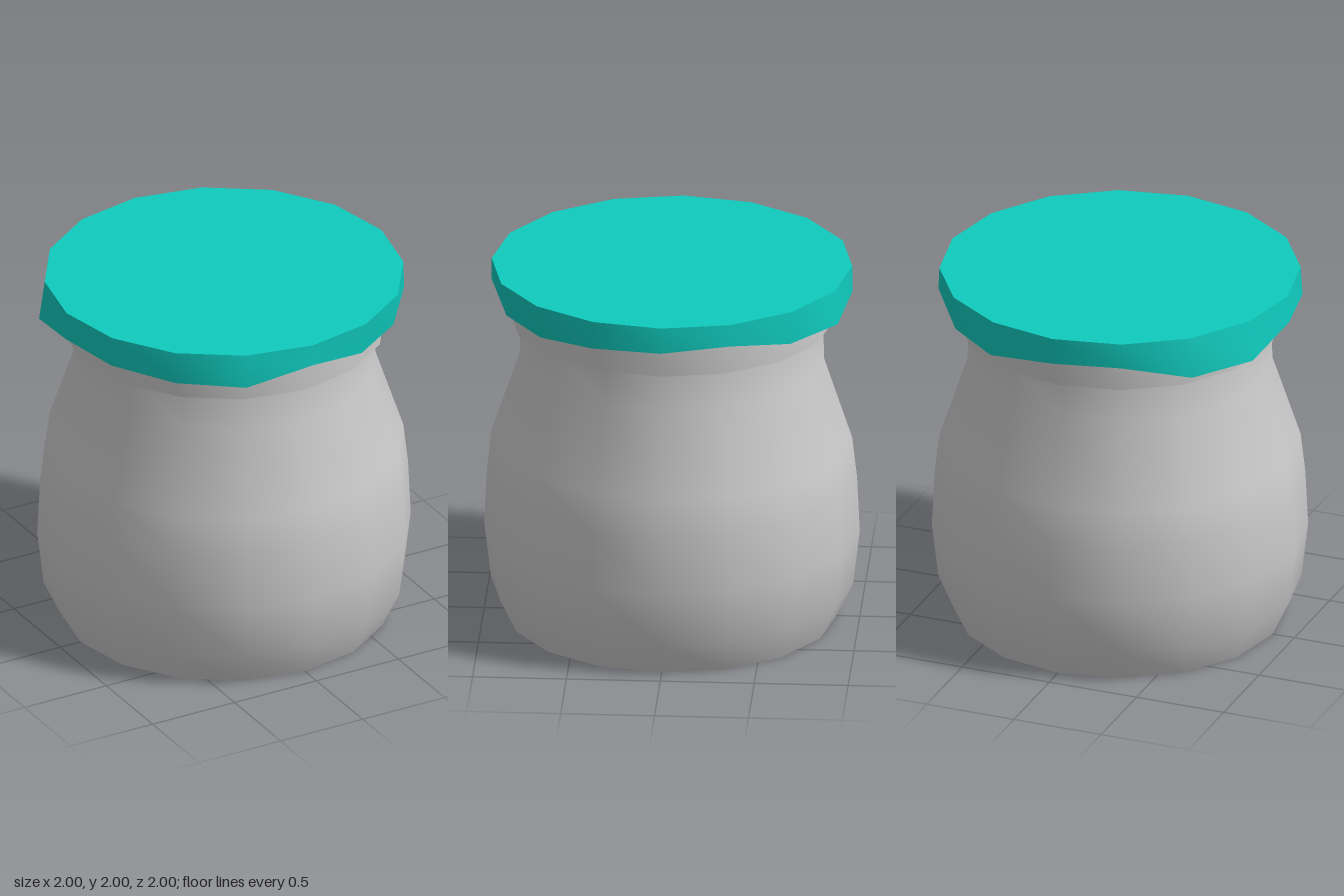
import * as THREE from 'three';
import { toCreasedNormals } from 'three/addons/utils/BufferGeometryUtils.js';

const SIDES = 16;
const lathe = (profile) =>
  new THREE.LatheGeometry(profile.map(([r, y]) => new THREE.Vector2(r, y)), SIDES);

function part(name, geometry, color) {
  const mesh = new THREE.Mesh(
    toCreasedNormals(geometry, 0.85),
    new THREE.MeshStandardMaterial({ color, side: THREE.DoubleSide })
  );
  mesh.name = name;
  return mesh;
}

export function createModel() {
  const group = new THREE.Group();
  group.name = 'jar';

  // Bulging jar body with a narrow neck and a stepped collar under the lid
  group.add(part('jarBody', lathe([
    [0, 0], [0.875, 0], [0.965, 0.19], [1, 0.49], [0.985, 0.8], [0.96, 1.02],
    [0.81, 1.47], [0.805, 1.685], [0.86, 1.685], [0.86, 1.96],
  ]), 0xcccccc));

  // Lid: flat disc whose skirt has an uneven lower edge, [radius, height] per side from +z towards +x
  const hem = [
    [0.96, 1.88], [0.93, 1.815], [0.935, 1.815], [0.965, 1.85],
    [0.97, 1.86], [0.965, 1.88], [0.95, 1.815], [0.98, 1.815],
    [0.96, 1.855], [0.96, 1.86], [0.985, 1.78], [0.99, 1.78],
    [0.97, 1.85], [0.97, 1.84], [0.96, 1.82], [0.985, 1.82],
  ];
  const lid = lathe([[0.855, 1.85], [0.96, 1.85], [0.96, 2], [0, 2]]);
  const pos = lid.attributes.position;
  for (let i = 0; i <= SIDES; i++) {
    const [r, y] = hem[i % SIDES];
    const a = (i / SIDES) * Math.PI * 2;
    pos.setY(i * 4, y);
    pos.setXYZ(i * 4 + 1, r * Math.sin(a), y, r * Math.cos(a));
  }
  group.add(part('lid', lid, 0x0fcabd));

  return group;
}
